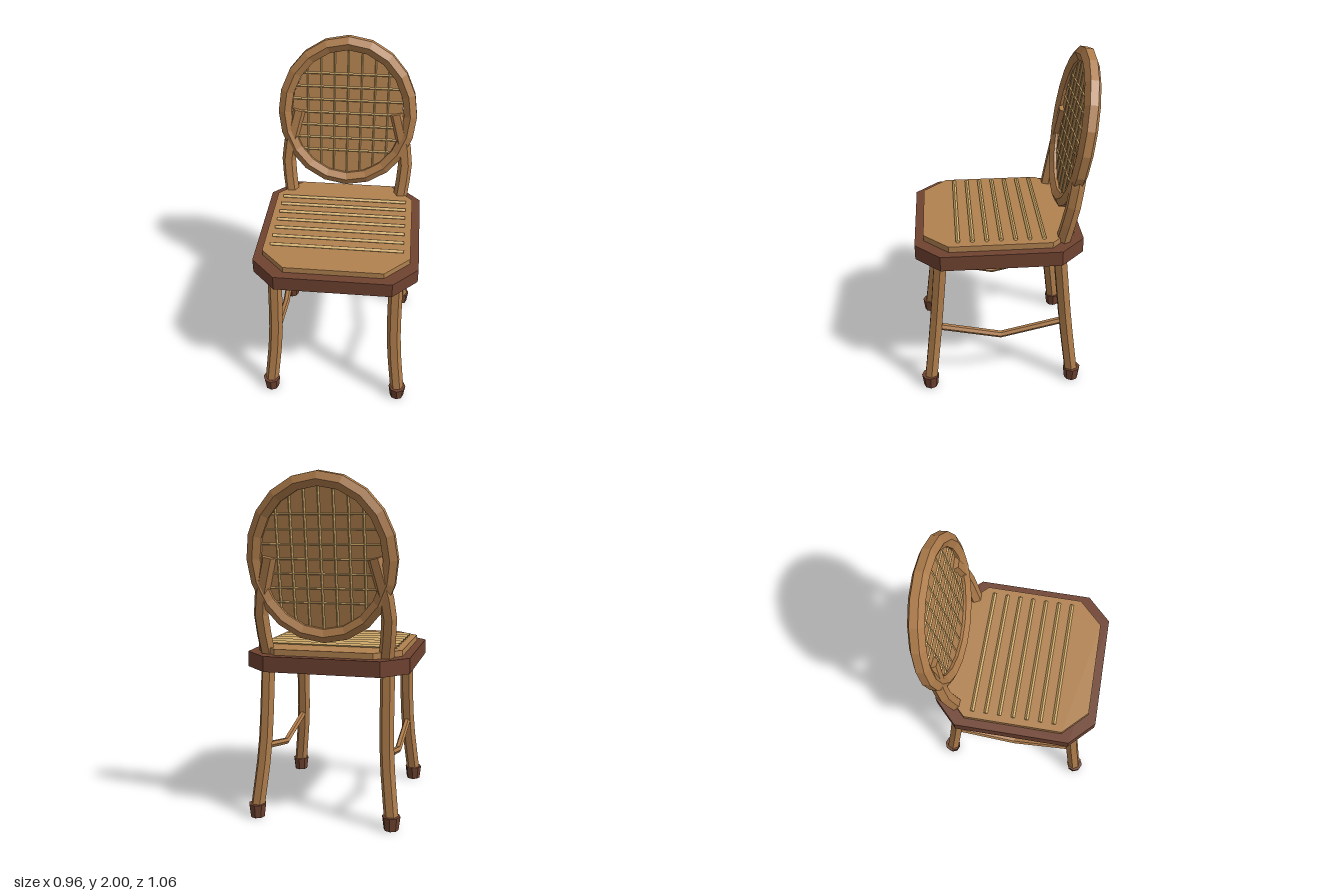
import * as THREE from 'three';

const material = (name, color) => {
  const m = new THREE.MeshStandardMaterial({ color });
  m.name = name;
  return m;
};

// Faceted normals for every part
function facet(geometry) {
  const g = geometry.index ? geometry.toNonIndexed() : geometry;
  g.computeVertexNormals();
  return g;
}

function addMesh(parent, name, geometry, mat) {
  const mesh = new THREE.Mesh(facet(geometry), mat);
  mesh.name = name;
  parent.add(mesh);
  return mesh;
}

// Bent rod with closed ends, following a few points
function rod(points, segments, radius, sides) {
  const curve = new THREE.CatmullRomCurve3(points.map(p => new THREE.Vector3(...p)));
  const g = new THREE.TubeGeometry(curve, segments, radius, sides, false);
  const index = Array.from(g.index.array);
  const last = segments * (sides + 1);
  for (let j = 1; j < sides - 1; j++) {
    index.push(0, j, j + 1, last, last + j + 1, last + j);
  }
  g.setIndex(index);
  return g;
}

// Flat board with four chamfered corners
function board(halfX, halfZ, chamfer, bottom, height) {
  const corners = [
    [halfX - chamfer, -halfZ], [halfX, -halfZ + chamfer],
    [halfX, halfZ - chamfer], [halfX - chamfer, halfZ],
    [-halfX + chamfer, halfZ], [-halfX, halfZ - chamfer],
    [-halfX, -halfZ + chamfer], [-halfX + chamfer, -halfZ],
  ];
  const shape = new THREE.Shape(corners.map(c => new THREE.Vector2(...c)));
  const g = new THREE.ExtrudeGeometry(shape, { depth: height, bevelEnabled: false });
  return g.rotateX(-Math.PI / 2).translate(0, bottom, 0.037);
}

// Four-sided cane strand lying along x
const strand = length => new THREE.CylinderGeometry(0.012, 0.012, length, 4).rotateZ(Math.PI / 2);

export function createModel() {
  const chair = new THREE.Group();
  chair.name = 'chair';
  const wood = material('bentwood', 0xae7c4b);
  const cane = material('cane panel', 0xb28250);
  const light = material('light cane', 0xd4ae6b);
  const dark = material('dark wood', 0x6f4230);

  // Seat
  addMesh(chair, 'seatFrame', board(0.48, 0.488, 0.143, 0.885, 0.09), dark);
  addMesh(chair, 'seatPad', board(0.43, 0.438, 0.143, 0.975, 0.035), cane);
  for (let i = 0; i < 7; i++) {
    addMesh(chair, 'seatStrand', strand(0.78), light).position.set(0, 1.018, -0.213 + i * 0.082);
  }

  // Legs, feet, stretchers and back posts on both sides
  for (const s of [1, -1]) {
    const side = new THREE.Group();
    side.name = s > 0 ? 'leftSide' : 'rightSide';
    chair.add(side);

    addMesh(side, 'frontLeg', rod([[s * 0.355, 0.92, 0.378], [s * 0.365, 0.42, 0.428], [s * 0.405, 0.03, 0.475]], 6, 0.042, 6), wood);
    addMesh(side, 'backLeg', rod([[s * 0.355, 0.92, -0.308], [s * 0.365, 0.42, -0.36], [s * 0.405, 0.03, -0.408]], 6, 0.042, 6), wood);
    for (const z of [0.475, -0.408]) {
      addMesh(side, 'foot', new THREE.CylinderGeometry(0.053, 0.043, 0.08, 8), dark).position.set(s * 0.402, 0.04, z);
    }
    addMesh(side, 'stretcher', rod([[s * 0.365, 0.42, 0.42], [s * 0.365, 0.332, 0.035], [s * 0.365, 0.42, -0.35]], 2, 0.021, 6), wood);
    addMesh(side, 'backPost', rod([[s * 0.35, 0.98, -0.328], [s * 0.37, 1.23, -0.378], [s * 0.3, 1.535, -0.425]], 5, 0.044, 6), wood);
  }

  // Oval back, leaning rearward
  const back = new THREE.Group();
  back.name = 'ovalBack';
  back.position.set(0, 1.525, -0.42);
  back.rotation.x = -0.15;
  chair.add(back);

  const ovalPoints = [];
  for (let i = 0; i < 20; i++) {
    const a = (i / 20) * Math.PI * 2;
    ovalPoints.push(new THREE.Vector3(0.387 * Math.sin(a), 0.435 * Math.cos(a), 0));
  }
  const oval = new THREE.CatmullRomCurve3(ovalPoints, true);
  addMesh(back, 'backRing', new THREE.TubeGeometry(oval, 20, 0.046, 6, true), wood);

  // Thin woven panel inside the ring
  const rx = 0.345, ry = 0.4;
  const panel = new THREE.CylinderGeometry(1, 1, 0.012, 20).rotateX(Math.PI / 2).scale(rx, ry, 1);
  addMesh(back, 'backPanel', panel, cane);
  for (let i = -3; i <= 3; i++) {
    const d = i * 0.082;
    const across = 2 * rx * Math.sqrt(1 - (d / ry) ** 2);
    const upright = 2 * ry * Math.sqrt(1 - (d / rx) ** 2);
    addMesh(back, 'crossStrand', strand(across), light).position.set(0, d, 0.001);
    const v = addMesh(back, 'uprightStrand', strand(upright), light);
    v.rotation.z = Math.PI / 2;
    v.position.set(d, 0, -0.001);
  }
  return chair;
}
